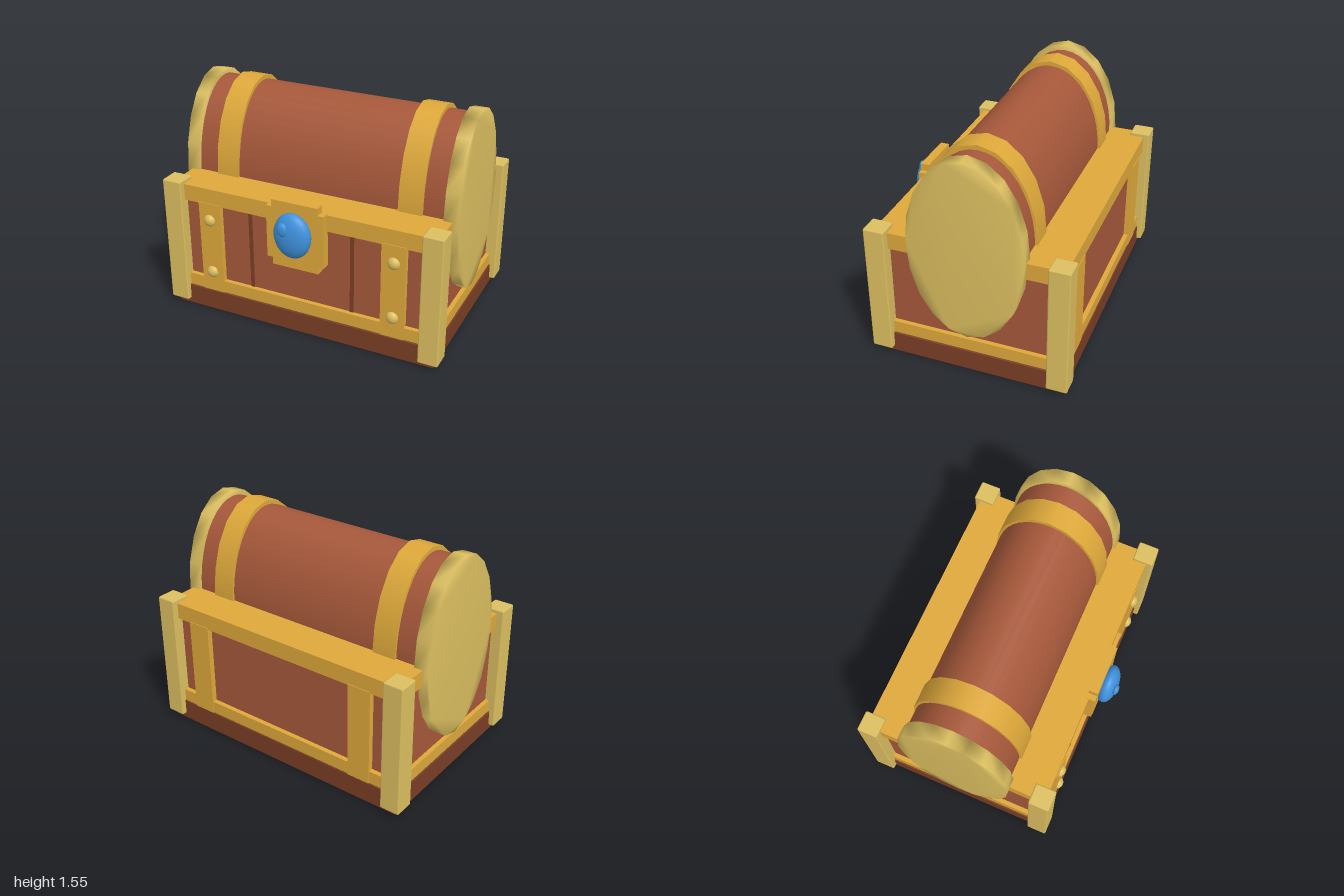
import * as THREE from 'three';
import { mergeVertices } from 'three/addons/utils/BufferGeometryUtils.js';
import { RoundedBoxGeometry } from 'three/addons/geometries/RoundedBoxGeometry.js';

const MID_Z = -0.068; // depth centre of the chest
const LID_Y = 0.917; // height of the barrel axis

function makeMaterial(name, color) {
  const m = new THREE.MeshStandardMaterial({ color });
  m.name = name;
  return m;
}

export function createModel() {
  const chest = new THREE.Group();
  chest.name = 'treasureChest';

  const wood = makeMaterial('wood', 0xa6583a);
  const darkWood = makeMaterial('darkWood', 0x7a3e25);
  const gold = makeMaterial('gold', 0xdea83a);
  const paleGold = makeMaterial('paleGold', 0xdcbf60);
  const blue = makeMaterial('blueGem', 0x3f92de);

  const add = (name, geometry, material) => {
    const mesh = new THREE.Mesh(geometry, material);
    mesh.name = name;
    chest.add(mesh);
    return mesh;
  };

  // Box given by its lower and upper corners, optionally with small bevels
  const box = (name, material, x0, x1, y0, y1, z0, z1, bevel = 0) => {
    const size = [x1 - x0, y1 - y0, z1 - z0];
    const geometry = bevel
      ? new RoundedBoxGeometry(...size, 1, bevel)
      : new THREE.BoxGeometry(...size);
    geometry.translate((x0 + x1) / 2, (y0 + y1) / 2, (z0 + z1) / 2);
    return add(name, geometry, material);
  };

  // Oval drum lying along x
  const drum = (name, material, x0, x1, ry, rz, sides) => {
    const geometry = new THREE.CylinderGeometry(1, 1, x1 - x0, sides);
    geometry.rotateZ(Math.PI / 2).scale(1, ry, rz);
    geometry.translate((x0 + x1) / 2, LID_Y, MID_Z);
    return add(name, geometry, material);
  };

  const ellipsoid = (name, material, x, y, z, rx, ry, rz) => {
    const geometry = new THREE.SphereGeometry(1, 24, 16);
    geometry.scale(rx, ry, rz).translate(x, y, z);
    return add(name, geometry, material);
  };

  // Body, base and rails
  box('base', darkWood, -0.96, 0.96, 0, 0.152, -0.71, 0.573, 0.008);
  box('body', wood, -0.92, 0.92, 0.15, 0.9, -0.67, 0.53);
  box('lowerRail', gold, -0.95, 0.95, 0.15, 0.24, -0.703, 0.562);
  box('upperRail', gold, -0.95, 0.95, 0.81, 0.925, -0.703, 0.562);

  // Barrel lid
  drum('lid', wood, -0.9, 0.9, 0.589, 0.367, 40);

  // Softly shaded oval end disc
  const outline = [];
  for (let i = 0; i < 20; i++) {
    const a = (i / 20) * Math.PI * 2;
    outline.push(new THREE.Vector2(Math.cos(a) * 0.388, Math.sin(a) * 0.628));
  }
  const endDisc = (name, x0) => {
    let geometry = new THREE.ExtrudeGeometry(new THREE.Shape(outline), {
      depth: 0.095, bevelEnabled: false,
    });
    geometry.deleteAttribute('normal');
    geometry.deleteAttribute('uv');
    geometry = mergeVertices(geometry);
    geometry.computeVertexNormals();
    geometry.rotateY(Math.PI / 2).translate(x0, LID_Y, MID_Z);
    add(name, geometry, paleGold);
  };
  endDisc('leftEndDisc', 0.89);
  endDisc('rightEndDisc', -0.985);

  // Mirrored parts
  for (const [side, s] of [['left', 1], ['right', -1]]) {
    const span = (a, b) => (s > 0 ? [a, b] : [-b, -a]);
    box(side + 'FrontPost', paleGold, ...span(0.86, 1), 0.04, 0.952, 0.465, 0.607, 0.01);
    box(side + 'BackPost', paleGold, ...span(0.86, 1), 0.04, 0.952, -0.745, -0.603, 0.01);
    drum(side + 'LidBand', gold, ...span(0.583, 0.748), 0.622, 0.384, 20);
    box(side + 'FrontStrap', gold, ...span(0.583, 0.748), 0.147, 0.82, 0.5, 0.567);
    box(side + 'BackStrap', gold, ...span(0.583, 0.748), 0.147, 0.82, -0.708, -0.64);
    box(side + 'PlankSeam', darkWood, ...span(0.357, 0.383), 0.152, 0.81, 0.528, 0.536);
    for (const [level, y] of [['Upper', 0.695], ['Lower', 0.3]]) {
      ellipsoid(side + level + 'Stud', paleGold, s * 0.668, y, 0.563, 0.043, 0.043, 0.035);
    }
  }

  // Lock plate with stepped corners
  const quarter = [[0.205, 0.185], [0.165, 0.185], [0.165, 0.235]];
  const mirrored = (sx, sy) => quarter.map(([x, y]) => new THREE.Vector2(x * sx, y * sy));
  const plate = new THREE.Shape([
    ...mirrored(1, 1), ...mirrored(-1, 1).reverse(),
    ...mirrored(-1, -1), ...mirrored(1, -1).reverse(),
  ]);
  const plateGeometry = new THREE.ExtrudeGeometry(plate, { depth: 0.062, bevelEnabled: false });
  plateGeometry.translate(0, 0.745, 0.545);
  add('lockPlate', plateGeometry, gold);

  // Gem with a small raised bead
  ellipsoid('gem', blue, 0, 0.768, 0.638, 0.131, 0.158, 0.068);
  ellipsoid('gemBead', blue, -0.04, 0.83, 0.7, 0.036, 0.048, 0.021);

  return chest;
}
